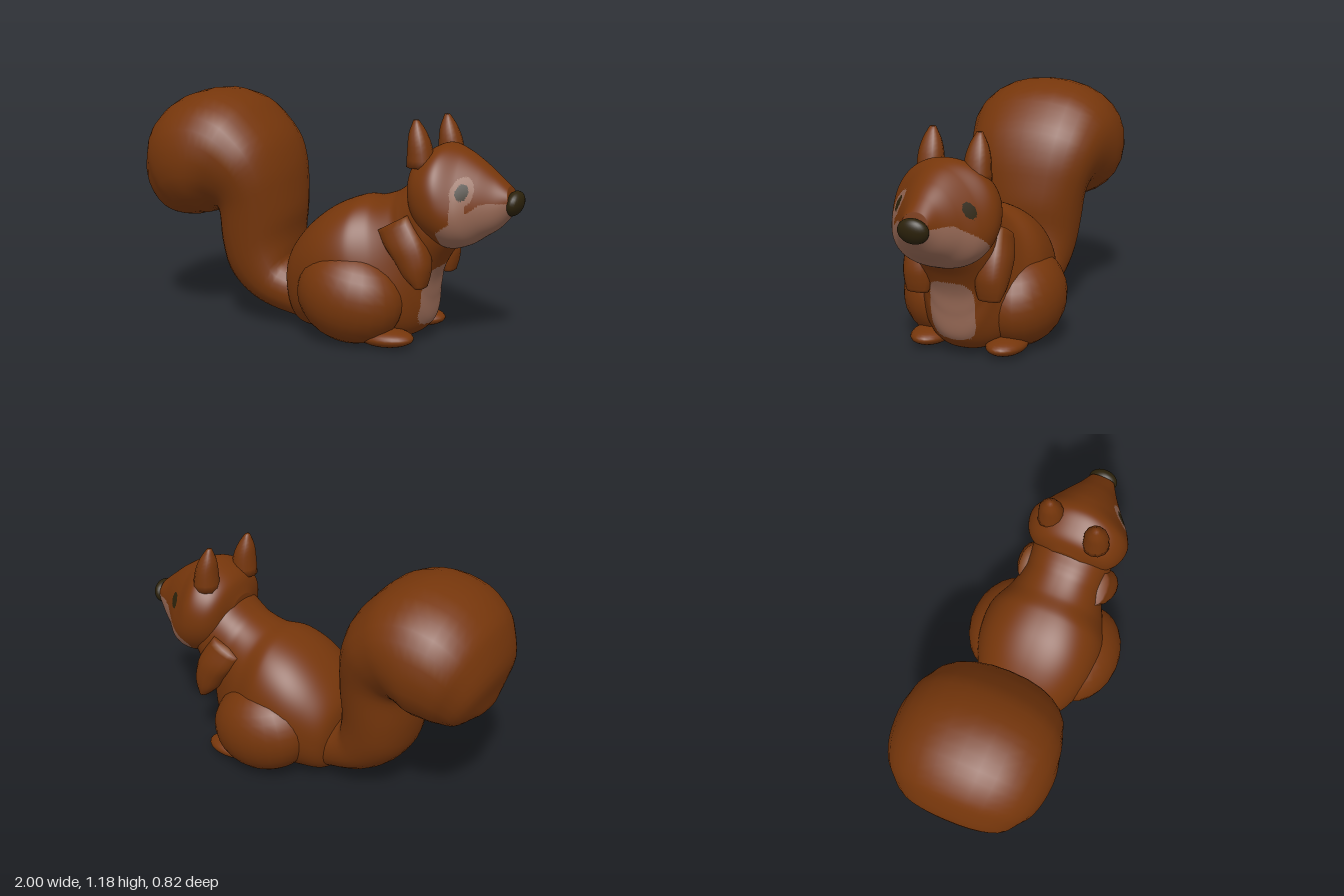
import * as THREE from 'three';

const mat = (name, color) => {
  const m = new THREE.MeshStandardMaterial({ color });
  m.name = name;
  return m;
};

// Skin over cross-sections [lowX, lowY, highX, highY, halfWidth, topTaper].
// paint(x, y, z) picks the material index of each face.
function loft(name, rows, mats, { steps = 40, sides = 28, power = 2.3, paint = () => 0 } = {}) {
  const spline = (f) => new THREE.CatmullRomCurve3(rows.map(f), false, 'catmullrom', 0.5);
  const low = spline((r) => new THREE.Vector3(r[0], r[1], r[4]));
  const high = spline((r) => new THREE.Vector3(r[2], r[3], r[5] ?? 0));
  const bend = (v) => Math.sign(v) * Math.abs(v) ** (2 / power);
  const pos = [];
  for (let i = 0; i <= steps; i++) {
    const l = low.getPoint(i / steps), h = high.getPoint(i / steps);
    for (let j = 0; j < sides; j++) {
      const a = (j / sides) * Math.PI * 2;
      const s = bend(Math.sin(a));
      const t = (s + 1) / 2;
      pos.push(l.x + (h.x - l.x) * t, l.y + (h.y - l.y) * t, l.z * bend(Math.cos(a)) * (1 - h.z * s));
    }
  }
  // end caps meet at a centre point
  const ends = [rows[0], rows[rows.length - 1]].map((r) => {
    pos.push((r[0] + r[2]) / 2, (r[1] + r[3]) / 2, 0);
    return pos.length / 3 - 1;
  });
  const faces = mats.map(() => []);
  const add = (...f) => {
    const c = [0, 1, 2].map((k) => (pos[f[0] * 3 + k] + pos[f[1] * 3 + k] + pos[f[2] * 3 + k]) / 3);
    faces[paint(...c)].push(...f);
  };
  for (let j = 0; j < sides; j++) {
    const n = (j + 1) % sides;
    for (let i = 0; i < steps; i++) {
      const a = i * sides + j, b = a + sides, c = i * sides + n, d = c + sides;
      add(a, b, c);
      add(b, d, c);
    }
    add(ends[0], j, n);
    add(ends[1], steps * sides + n, steps * sides + j);
  }
  const g = new THREE.BufferGeometry();
  g.setAttribute('position', new THREE.Float32BufferAttribute(pos, 3));
  g.setIndex(faces.flat());
  let start = 0;
  faces.forEach((f, k) => {
    g.addGroup(start, f.length, k);
    start += f.length;
  });
  g.computeVertexNormals();
  const mesh = new THREE.Mesh(g, mats);
  mesh.name = name;
  return mesh;
}

function ellipsoid(name, material, p, r, tilt = 0) {
  const mesh = new THREE.Mesh(new THREE.SphereGeometry(1, 24, 16), material);
  mesh.name = name;
  mesh.position.set(...p);
  mesh.scale.set(...r);
  mesh.rotation.z = tilt;
  return mesh;
}

export function createModel() {
  const fur = mat('brown fur', 0x76360b);
  const pale = mat('pale fur', 0x936653);
  const dark = mat('dark nose and eyes', 0x2c220b);
  const model = new THREE.Group();
  model.name = 'squirrel';

  // bushy tail, from the curled tip round to the rump
  model.add(loft('tail', [
    [-0.90, 0.56, -0.95, 0.60, 0.09],
    [-0.84, 0.52, -0.97, 0.69, 0.20],
    [-0.80, 0.51, -1.00, 0.82, 0.27],
    [-0.76, 0.51, -0.97, 0.96, 0.32],
    [-0.73, 0.515, -0.92, 1.05, 0.36],
    [-0.70, 0.525, -0.80, 1.14, 0.39],
    [-0.67, 0.53, -0.62, 1.18, 0.40],
    [-0.65, 0.54, -0.46, 1.14, 0.385, -0.06],
    [-0.63, 0.55, -0.36, 1.06, 0.36, -0.12],
    [-0.61, 0.56, -0.27, 0.95, 0.335, -0.15],
    [-0.60, 0.56, -0.22, 0.82, 0.31, -0.12],
    [-0.59, 0.53, -0.20, 0.70, 0.29, -0.06],
    [-0.58, 0.40, -0.19, 0.58, 0.27],
    [-0.54, 0.25, -0.20, 0.48, 0.25],
    [-0.44, 0.14, -0.20, 0.40, 0.23],
    [-0.30, 0.07, -0.19, 0.34, 0.21],
    [-0.08, 0.02, -0.08, 0.30, 0.18],
  ], [fur], { steps: 48, power: 2.2 }));

  // body from rump to neck, with a pale belly patch
  const belly = (x, y, z) =>
    x > 0.46 && (Math.abs(z - 0.01) / 0.118) ** 4 + (Math.abs(y - 0.24) / 0.147) ** 4 < 1 ? 1 : 0;
  model.add(loft('body', [
    [-0.17, 0.06, -0.19, 0.30, 0.12],
    [-0.10, 0.01, -0.17, 0.42, 0.22],
    [0.00, 0.005, -0.08, 0.54, 0.28],
    [0.12, 0.005, 0.04, 0.635, 0.315],
    [0.28, 0.005, 0.17, 0.69, 0.315],
    [0.45, 0.02, 0.27, 0.70, 0.26],
    [0.55, 0.10, 0.36, 0.73, 0.21, -0.15],
    [0.565, 0.22, 0.41, 0.76, 0.20, -0.15],
    [0.575, 0.32, 0.46, 0.80, 0.205, -0.05],
    [0.62, 0.42, 0.50, 0.82, 0.21],
    [0.68, 0.50, 0.55, 0.85, 0.19],
  ], [fur, pale], { steps: 100, sides: 150, paint: belly }));

  // head with pale muzzle, dark eyes and a pale ring round the left eye
  const face = (x, y, z) => {
    const eye = (rx, ry) => ((x - 0.755) / rx) ** 2 + ((y - 0.785) / ry) ** 2 < 1;
    if (eye(0.026, 0.037)) return 2;
    if (z > 0 && (eye(0.047, 0.068) || (Math.abs(x - 0.745) < 0.03 && y > 0.6 && y < 0.75))) return 1;
    return x > 0.65 && y < Math.min(0.6 + 0.75 * (x - 0.66), 0.73) ? 1 : 0;
  };
  model.add(loft('head', [
    [0.46, 0.70, 0.45, 0.82, 0.08],
    [0.50, 0.60, 0.48, 0.90, 0.19],
    [0.56, 0.53, 0.54, 0.95, 0.245, 0.02],
    [0.66, 0.485, 0.62, 0.985, 0.26, 0.06],
    [0.75, 0.505, 0.71, 0.96, 0.215, 0.25],
    [0.82, 0.55, 0.80, 0.905, 0.155, 0.2],
    [0.89, 0.60, 0.87, 0.85, 0.105, 0.15],
    [0.955, 0.675, 0.93, 0.80, 0.065],
  ], [fur, pale, dark], { steps: 130, sides: 150, power: 2.15, paint: face }));
  model.add(ellipsoid('nose', dark, [0.953, 0.722, 0], [0.042, 0.062, 0.075], -0.3));

  // pointed ears, the right one set a little further forward
  for (const [x, z, name] of [[0, 0.125, 'leftEar'], [0.05, -0.135, 'rightEar']]) {
    const ear = loft(name, [
      [0.60, 0.88, 0.46, 0.88, 0.068],
      [0.58, 0.98, 0.465, 0.98, 0.062],
      [0.55, 1.05, 0.47, 1.04, 0.044],
      [0.515, 1.10, 0.49, 1.10, 0.015],
    ], [fur], { steps: 9, sides: 12, power: 2 });
    ear.position.set(x, 0, z);
    model.add(ear);
  }

  // paired limbs
  for (const [s, side] of [[1, 'left'], [-1, 'right']]) {
    const arm = loft(side + 'Arm', [
      [0.34, 0.57, 0.50, 0.66, 0.05],
      [0.38, 0.50, 0.58, 0.54, 0.08],
      [0.43, 0.44, 0.61, 0.44, 0.083],
      [0.48, 0.37, 0.605, 0.37, 0.075],
      [0.54, 0.315, 0.59, 0.315, 0.055],
    ], [fur], { steps: 16, sides: 16 });
    arm.position.z = s * 0.185;
    model.add(
      arm,
      ellipsoid(side + 'Thigh', fur, [0.20, 0.232, s * 0.2], [0.275, 0.232, 0.21], -0.2),
      ellipsoid(side + 'Foot', fur, [0.39, 0.047, s * 0.2], [0.143, 0.045, 0.095], 0.03),
    );
  }
  return model;
}
